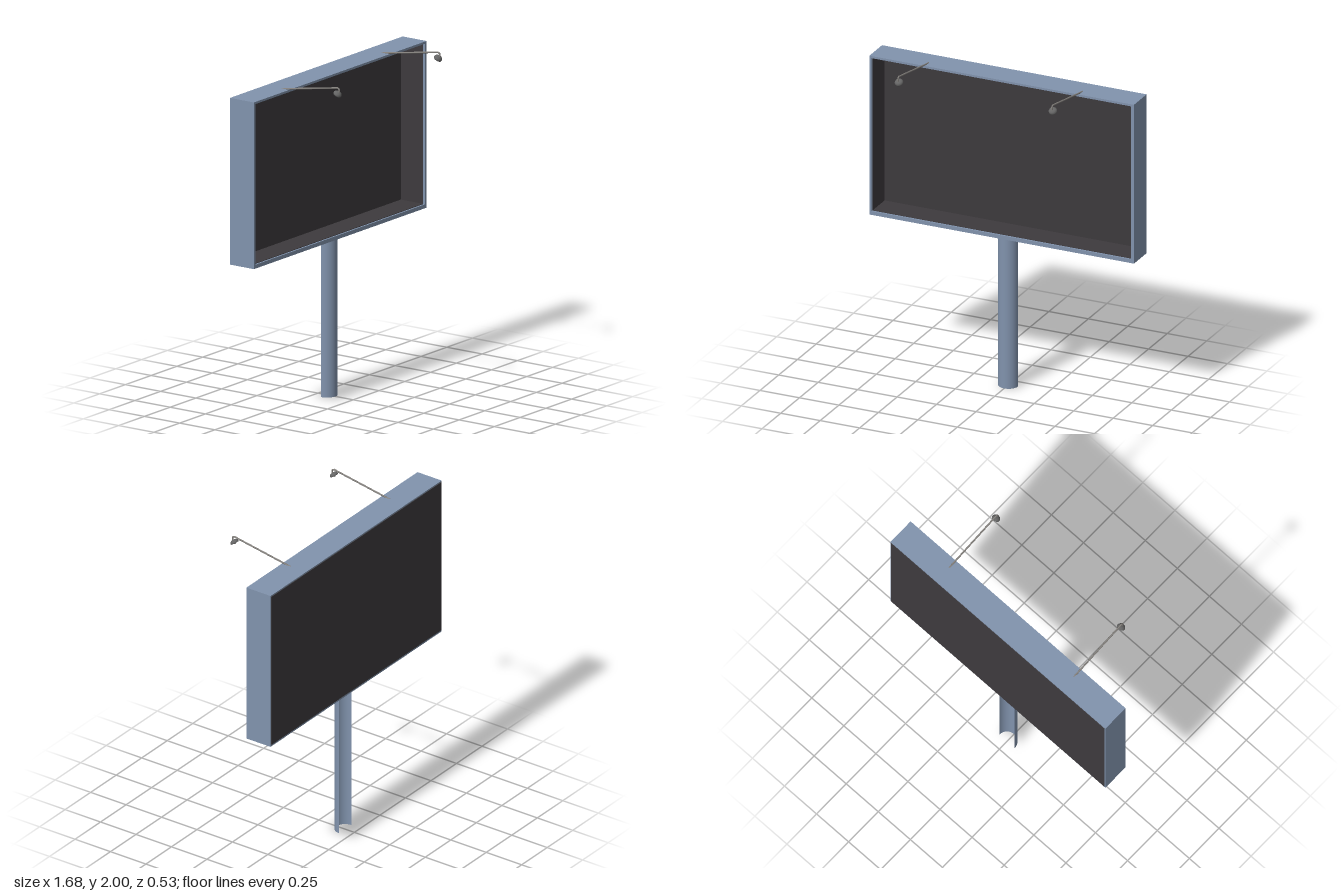
import * as THREE from 'three';

const blue = new THREE.MeshStandardMaterial({ color: 0x8193ad });
const blueThin = new THREE.MeshStandardMaterial({ color: 0x8193ad, side: THREE.DoubleSide });
const dark = new THREE.MeshStandardMaterial({ color: 0x3d3a3d });
const steel = new THREE.MeshStandardMaterial({ color: 0x85827e });
const lampGrey = new THREE.MeshStandardMaterial({ color: 0x666666, side: THREE.DoubleSide });

function add(parent, name, geometry, material, x = 0, y = 0, z = 0) {
  const mesh = new THREE.Mesh(geometry, material);
  mesh.name = name;
  mesh.position.set(x, y, z);
  parent.add(mesh);
  return mesh;
}

// Rectangular ring given as [left, bottom, right, top], extruded along z
function ring(outer, inner, depth) {
  const corners = ([l, b, r, t]) => [[l, b], [r, b], [r, t], [l, t]].map(p => new THREE.Vector2(...p));
  const shape = new THREE.Shape(corners(outer));
  shape.holes.push(new THREE.Path(corners(inner).reverse()));
  return new THREE.ExtrudeGeometry(shape, { depth, bevelEnabled: false });
}

function createLamp(x) {
  const lamp = new THREE.Group();
  lamp.name = 'lamp';
  lamp.position.x = x;

  // Long sloping arm with a short hooked end
  const path = new THREE.CurvePath();
  const start = new THREE.Vector3(0, 1.925, -0.155);
  const bend = new THREE.Vector3(0, 1.994, 0.248);
  const end = new THREE.Vector3(0, 1.968, 0.258);
  path.add(new THREE.LineCurve3(start, bend));
  path.add(new THREE.QuadraticBezierCurve3(bend, new THREE.Vector3(0, 1.995, 0.262), end));
  add(lamp, 'lampArm', new THREE.TubeGeometry(path, 40, 0.005, 8), steel);

  // Shallow reflector tilted back toward the board
  const profile = [[0, 0.012], [0.01, 0.011], [0.02, 0.006], [0.025, -0.002], [0.025, -0.009], [0.021, -0.009], [0.018, 0], [0, 0.004]]
    .map(p => new THREE.Vector2(...p)).reverse();
  const head = add(lamp, 'lampHead', new THREE.LatheGeometry(profile, 16), lampGrey, 0, 1.962, 0.249);
  head.rotation.x = 0.6;
  add(lamp, 'bulb', new THREE.SphereGeometry(0.01, 12, 8), steel, 0, 1.957, 0.246);
  return lamp;
}

export function createModel() {
  const model = new THREE.Group();
  model.name = 'billboard';

  // Half-round post, open at the back
  const post = new THREE.CylinderGeometry(0.06, 0.06, 0.95, 24, 1, true, -Math.PI / 2, Math.PI);
  add(model, 'post', post, blueThin, 0, 0.475, -0.185);

  // Deep frame, open at the front
  const outer = [-0.838, 0.942, 0.838, 1.93];
  const opening = [-0.824, 0.965, 0.82, 1.917];
  add(model, 'frame', ring(outer, opening, 0.17), blue, 0, 0, -0.262);

  // Dark lining on the inner walls
  const lining = [-0.821, 0.968, 0.817, 1.914];
  add(model, 'lining', ring(opening, lining, 0.158), dark, 0, 0, -0.261);

  // Back panel, seen from both sides
  add(model, 'panel', new THREE.BoxGeometry(1.664, 0.968, 0.005), dark, 0, 1.438, -0.2625);

  for (const x of [-0.49, 0.485]) model.add(createLamp(x));
  return model;
}
